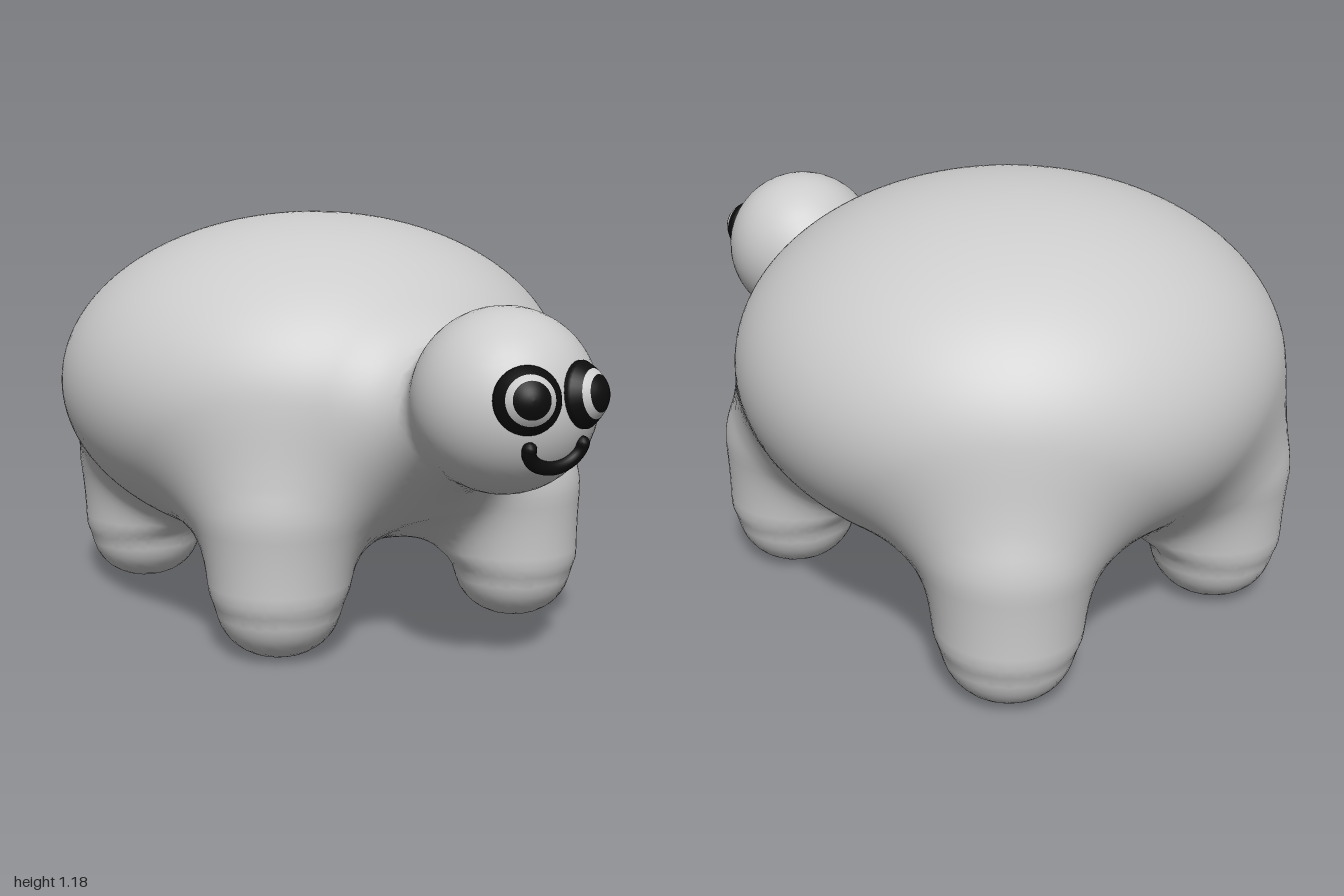
import * as THREE from 'three';

const grey = new THREE.MeshStandardMaterial({ color: 0xcccccc });
const black = new THREE.MeshStandardMaterial({ color: 0x0c0c0c });
const HEAD = new THREE.Vector3(0, 0.75, 0.73);
const HEAD_R = 0.235;
const LEGS = [[-0.362, 0.205], [0.41, 0.225], [-0.375, -0.705], [0.41, -0.705]];

// Distance fields of the simple solids
const smoothUnion = (a, b, k) => {
  const h = Math.max(k - Math.abs(a - b), 0) / k;
  return Math.min(a, b) - h * h * k / 4;
};
function shell(x, y, z) {
  const a = 0.757, b = 0.496, c = 0.75, dy = y - 0.68, dz = z + 0.25;
  const k0 = Math.hypot(x / a, dy / b, dz / c);
  const k1 = Math.hypot(x / (a * a), dy / (b * b), dz / (c * c));
  return k1 < 1e-6 ? -b : k0 * (k0 - 1) / k1;
}
function leg(x, y, z, cx, cz) {
  const r = 0.175, edge = 0.15, top = 0.52;
  const dr = Math.hypot(x - cx, z - cz) - (r - edge);
  const dy = Math.abs(y - top / 2) - (top / 2 - edge);
  return Math.min(Math.max(dr, dy), 0) + Math.hypot(Math.max(dr, 0), Math.max(dy, 0)) - edge;
}
function neck(x, y, z) {
  const t = THREE.MathUtils.clamp((z - 0.35) / 0.35, 0, 1);
  return Math.hypot(x, y - (0.61 + 0.11 * t), z - (0.35 + 0.35 * t)) - 0.19;
}

// Body, legs, neck and head melted into one skin with a flat belly
function field(x, y, z) {
  const legs = LEGS.map(([cx, cz]) => leg(x, y, z, cx, cz));
  let d = shell(x, y, z);
  for (const l of legs) d = smoothUnion(d, l, 0.24);
  d = -smoothUnion(-d, y - 0.177, 0.03);
  d = smoothUnion(d, Math.min(...legs), 0.06);
  d = smoothUnion(d, neck(x, y, z), 0.16);
  return smoothUnion(d, Math.hypot(x, y - HEAD.y, z - HEAD.z) - HEAD_R, 0.03);
}
function gradient(p) {
  const e = 0.004, [x, y, z] = p;
  return [
    (field(x + e, y, z) - field(x - e, y, z)) / (2 * e),
    (field(x, y + e, z) - field(x, y - e, z)) / (2 * e),
    (field(x, y, z + e) - field(x, y, z - e)) / (2 * e),
  ];
}

// Wraps a quad mesh around the zero level of the field
function skinGeometry(h) {
  const lo = [-0.85, -0.08, -1.08];
  const n = [1.7, 1.36, 2.16].map((s) => Math.ceil(s / h));
  const step = [1, n[0], n[0] * n[1]];
  const total = n[0] * n[1] * n[2];
  const values = new Float32Array(total);
  const coords = (i) => [i % n[0], Math.floor(i / n[0]) % n[1], Math.floor(i / step[2])];
  for (let i = 0; i < total; i++) {
    const c = coords(i);
    values[i] = field(...c.map((v, a) => lo[a] + v * h));
  }
  const positions = [], normals = [], index = [];
  const vertexOf = new Map();

  // One vertex per crossed cell, pulled onto the surface
  const vertex = (cell) => {
    if (vertexOf.has(cell)) return vertexOf.get(cell);
    let p = coords(cell).map((v, a) => lo[a] + (v + 0.5) * h);
    const start = p;
    for (let k = 0; k < 6; k++) {
      const g = gradient(p), d = field(...p);
      const gg = Math.max(g[0] ** 2 + g[1] ** 2 + g[2] ** 2, 0.2);
      p = p.map((v, a) => THREE.MathUtils.clamp(v - d * g[a] / gg, start[a] - h, start[a] + h));
    }
    const g = gradient(p), len = Math.hypot(...g) || 1;
    positions.push(...p);
    normals.push(...g.map((v) => v / len));
    const id = positions.length / 3 - 1;
    vertexOf.set(cell, id);
    return id;
  };

  // One quad per crossed grid edge
  for (let i = 0; i < total; i++) {
    const c = coords(i);
    if (c.some((v, a) => v < 1 || v > n[a] - 2)) continue;
    for (let a = 0; a < 3; a++) {
      const inside = values[i] < 0;
      if (inside === values[i + step[a]] < 0) continue;
      const u = step[(a + 1) % 3], v = step[(a + 2) % 3];
      const q = [i, i - u, i - u - v, i - v].map(vertex);
      if (!inside) q.reverse();
      index.push(q[0], q[1], q[2], q[0], q[2], q[3]);
    }
  }
  const geo = new THREE.BufferGeometry();
  geo.setAttribute('position', new THREE.Float32BufferAttribute(positions, 3));
  geo.setAttribute('normal', new THREE.Float32BufferAttribute(normals, 3));
  geo.setIndex(index);
  return geo;
}

function add(parent, name, geo, mat) {
  const mesh = new THREE.Mesh(geo, mat);
  mesh.name = name;
  parent.add(mesh);
  return mesh;
}

// Domed eye in three bands: dark rim, pale ring, dark pupil
function makeEye(name, side) {
  const eye = new THREE.Group();
  eye.name = name;
  const bulge = (r) => 0.288 - 0.06 * (r / 0.083) ** 2;
  const band = (r0, r1, skirt) => {
    const pts = skirt ? [new THREE.Vector2(r1 - 0.002, 0.19)] : [];
    for (let k = 0; k <= 5; k++) {
      const r = r1 + (r0 - r1) * k / 5;
      pts.push(new THREE.Vector2(r, bulge(r)));
    }
    return new THREE.LatheGeometry(pts, 32);
  };
  add(eye, 'eyeRim', band(0.061, 0.083, true), black);
  add(eye, 'eyeRing', band(0.046, 0.061, false), grey);
  add(eye, 'pupil', band(0, 0.046, false), black);
  eye.position.copy(HEAD);
  const out = new THREE.Vector3(side * 0.087, 0.038, 0.214).normalize();
  eye.quaternion.setFromUnitVectors(new THREE.Vector3(0, 1, 0), out);
  return eye;
}

// Smile: an arc laid over the front of the head
function makeMouth() {
  const mouth = new THREE.Group();
  mouth.name = 'mouth';
  const pts = [];
  for (let k = 0; k <= 16; k++) {
    const t = Math.PI * (1 + k / 16);
    const x = 0.079 * Math.cos(t), y = -0.08 + 0.055 * Math.sin(t);
    pts.push(new THREE.Vector3(x, y, Math.sqrt(HEAD_R ** 2 - x * x - y * y) + 0.006).add(HEAD));
  }
  add(mouth, 'smile', new THREE.TubeGeometry(new THREE.CatmullRomCurve3(pts), 40, 0.018, 10), black);
  for (const end of [pts[0], pts[16]])
    add(mouth, 'mouthCorner', new THREE.SphereGeometry(0.018, 12, 8), black).position.copy(end);
  return mouth;
}

export function createModel() {
  const model = new THREE.Group();
  model.name = 'roundAnimal';
  add(model, 'body', skinGeometry(0.03), grey);
  model.add(makeEye('leftEye', 1), makeEye('rightEye', -1), makeMouth());
  return model;
}
